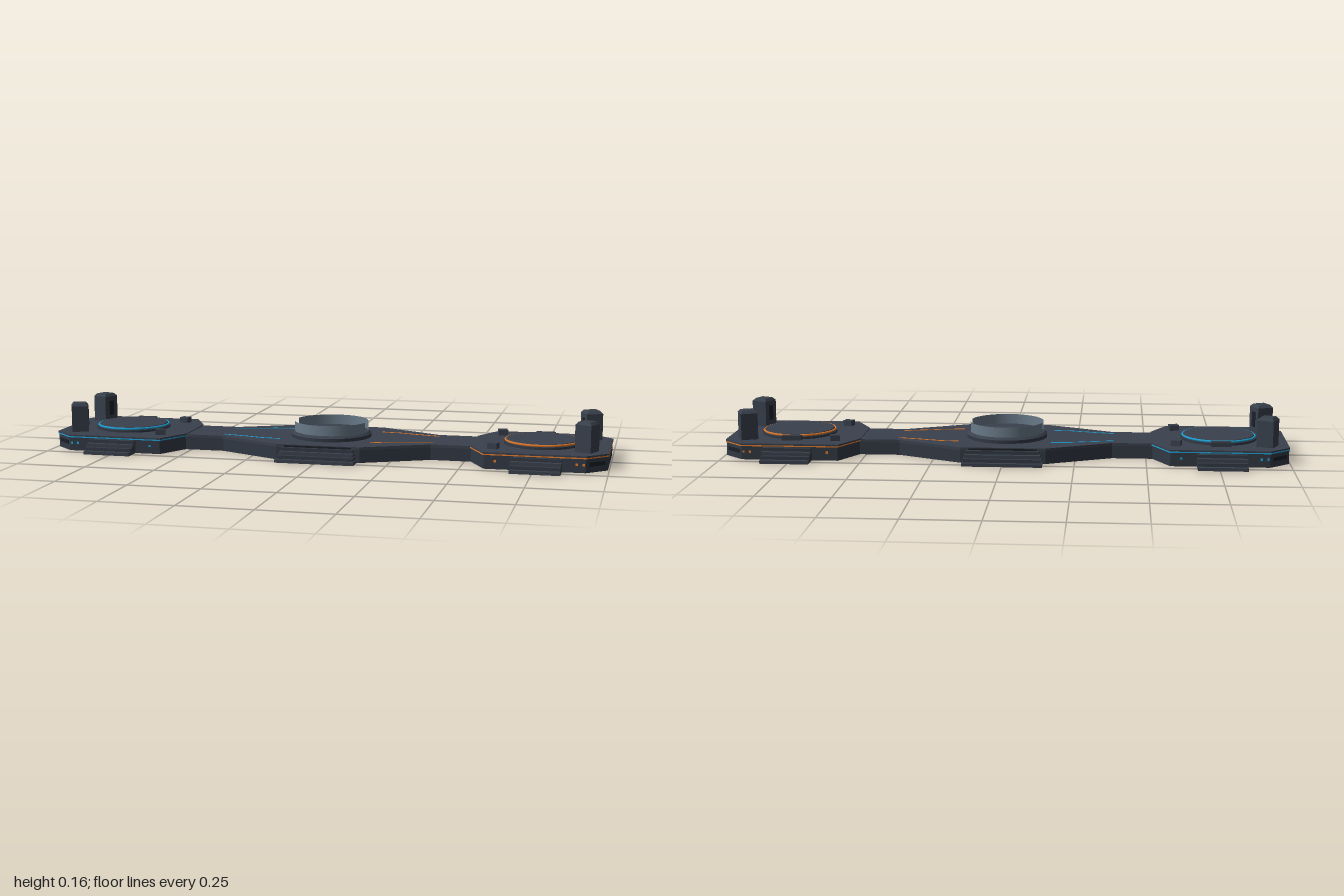
import * as THREE from 'three';

const mat = (name, color, side = THREE.FrontSide) => {
  const m = new THREE.MeshStandardMaterial({ color, side });
  m.name = name;
  return m;
};

export function createModel() {
  const root = new THREE.Group();
  root.name = 'platform';
  const deck = mat('deck slate', 0x3a414d);
  const hull = mat('hull slate', 0x323944);
  const pillarGrey = mat('pillar slate', 0x38404b);
  const slot = mat('slot black', 0x1b2027);
  const glass = mat('barrier grey blue', 0x6a7b8a, THREE.DoubleSide);
  const blue = mat('blue light', 0x1fa6dc);
  const orange = mat('orange light', 0xe87d2c);

  const add = (parent, name, geo, m, x = 0, y = 0, z = 0, ry = 0) => {
    const mesh = new THREE.Mesh(geo, m);
    mesh.name = name;
    mesh.position.set(x, y, z);
    mesh.rotation.y = ry;
    parent.add(mesh);
    return mesh;
  };
  const box = (w, h, d) => new THREE.BoxGeometry(w, h, d);

  // Flat slab from an outline of [x, z] points, standing between y0 and y1
  const slab = (pts, y0, y1, bevel = 0) => {
    const shape = new THREE.Shape(pts.map(([x, z]) => new THREE.Vector2(x, -z)));
    const geo = new THREE.ExtrudeGeometry(shape, {
      depth: y1 - y0 - 2 * bevel, bevelEnabled: bevel > 0, bevelSegments: 1,
      bevelSize: bevel, bevelThickness: bevel, bevelOffset: -bevel,
    });
    return geo.rotateX(-Math.PI / 2).translate(0, y0 + bevel, 0);
  };
  // Adds the z-mirrored half of an outline
  const mirrorZ = (half) => [...half, ...half.map(([x, z]) => [x, -z]).reverse()];
  const scaled = (pts, k) => pts.map(([x, z]) => [x * k, z * k]);

  // Stair block stepping down outwards along z
  const stairs = (name, x, inner, outer, width, flare, sz) => {
    const g = new THREE.Group();
    g.name = name;
    for (let i = 0; i < 4; i++) {
      const reach = outer - (outer - inner) * i / 4;
      const y0 = i * 0.0115, d = reach - inner + 0.03;
      add(g, 'step', box(width - flare * i, 0.0115, d), i % 2 ? hull : deck,
        x, y0 + 0.00575, sz * (reach - d / 2));
    }
    root.add(g);
  };

  // Bridge with a wide middle
  const half = [[-0.56, 0.1], [-0.38, 0.1], [-0.15, 0.213], [0.15, 0.213], [0.38, 0.1], [0.56, 0.1]];
  const bridge = mirrorZ(half);
  add(root, 'bridgeBase', slab(bridge, 0, 0.045), hull);
  add(root, 'bridgeDeck', slab(bridge, 0.045, 0.055), deck);
  for (const sz of [-1, 1]) {
    add(root, 'bridgeSlot', box(0.24, 0.006, 0.004), slot, 0, 0.049, sz * 0.213);
    stairs('middleStairs', 0, 0.213, 0.275, 0.28, 0.008, sz);
  }

  // Middle dais
  add(root, 'middleDais', new THREE.CylinderGeometry(0.145, 0.145, 0.012, 32), hull, 0, 0.061, 0);
  add(root, 'middleFloor', new THREE.CylinderGeometry(0.136, 0.145, 0.008, 32), deck, 0, 0.071, 0);
  // Two curved barrier walls, open towards the bridge ends
  const gap = 0.23;
  for (const k of [0, 1]) {
    add(root, 'barrier', new THREE.CylinderGeometry(0.133, 0.133, 0.037, 12, 1, true,
      k * Math.PI - Math.PI / 2 + gap, Math.PI - 2 * gap), glass, 0, 0.0925, 0);
  }

  // End pods
  const podHalf = [[-0.24, 0.1], [-0.18, 0.217], [0.167, 0.217], [0.238, 0.15]];
  const pod = mirrorZ(podHalf);
  for (const s of [-1, 1]) {
    const light = s < 0 ? blue : orange;
    const cx = s * 0.76;
    const g = new THREE.Group();
    g.name = s < 0 ? 'rightPod' : 'leftPod';
    g.position.x = cx;
    root.add(g);
    const outline = pod.map(([x, z]) => [x * s, z]);
    add(g, 'podBase', slab(scaled(outline, 0.99), 0, 0.048), hull);
    add(g, 'podTrim', slab(scaled(outline, 1.002), 0.048, 0.052), light);
    add(g, 'podDeck', slab(outline, 0.052, 0.058), deck);

    // Landing disc with a lit ring
    add(g, 'discBase', new THREE.CylinderGeometry(0.135, 0.135, 0.008, 32), hull, 0, 0.062, 0);
    add(g, 'discTop', new THREE.CylinderGeometry(0.124, 0.13, 0.01, 32), deck, 0, 0.071, 0);
    const ring = new THREE.TorusGeometry(0.129, 0.004, 4, 40).rotateX(Math.PI / 2);
    add(g, 'discRing', ring, light, 0, 0.071, 0);
    add(g, 'console', box(0.07, 0.016, 0.025), hull, 0, 0.066, -0.142);

    // Slots on the end face
    add(g, 'endSlot', box(0.004, 0.007, 0.23), slot, s * 0.236, 0.028, 0);

    for (const sz of [-1, 1]) {
      // Corner pillar with a chamfered top and a dark inner slot
      const p = new THREE.Group();
      p.name = 'pillar';
      p.position.set(s * 0.162, 0, sz * 0.125);
      p.rotation.y = -s * sz * 0.42;
      g.add(p);
      add(p, 'pillarBody', box(0.06, 0.094, 0.062), pillarGrey, 0, 0.105, 0);
      const cap = new THREE.CylinderGeometry(0.031, 0.043, 0.01, 4).rotateY(Math.PI / 4);
      add(p, 'pillarCap', cap.toNonIndexed(), pillarGrey, 0, 0.157, 0);
      cap.computeVertexNormals();
      add(p, 'pillarSlot', box(0.004, 0.055, 0.022), slot, -s * 0.03, 0.108, 0);

      // Low post beside the bridge
      add(g, 'post', box(0.034, 0.02, 0.03), pillarGrey, -s * 0.155, 0.068, sz * 0.14, -s * sz * 0.25);

      // Slot on the slanted outer corner and lights on the sides
      add(g, 'cornerSlot', box(0.07, 0.014, 0.004), slot, s * 0.2, 0.028, sz * 0.182,
        s * sz * Math.atan2(0.067, 0.071));
      for (const x of [0.135, 0.158]) {
        add(g, 'sideLight', box(0.008, 0.008, 0.006), light, s * x, 0.028, sz * 0.214);
      }
      add(g, 'sideLight', box(0.008, 0.008, 0.006), light, -s * 0.14, 0.028, sz * 0.214);
      stairs('podStairs', cx, 0.217, 0.283, 0.172, 0, sz);

      // Light strip along the bridge
      const path = [[0.165, 0.111], [0.235, 0.104], [0.31, 0.083], [0.385, 0.066]];
      for (let i = 0; i < 3; i++) {
        const [[x0, z0], [x1, z1]] = [path[i], path[i + 1]];
        add(root, 'bridgeLight', box(Math.hypot(x1 - x0, z1 - z0), 0.002, 0.005), light,
          s * (x0 + x1) / 2, 0.0555, sz * (z0 + z1) / 2, -s * sz * Math.atan2(z1 - z0, x1 - x0));
      }
    }
  }

  // Flat facets on every straight-sided part
  root.traverse((o) => {
    if (o.name === 'pillarCap') o.geometry.computeVertexNormals();
  });
  return root;
}
